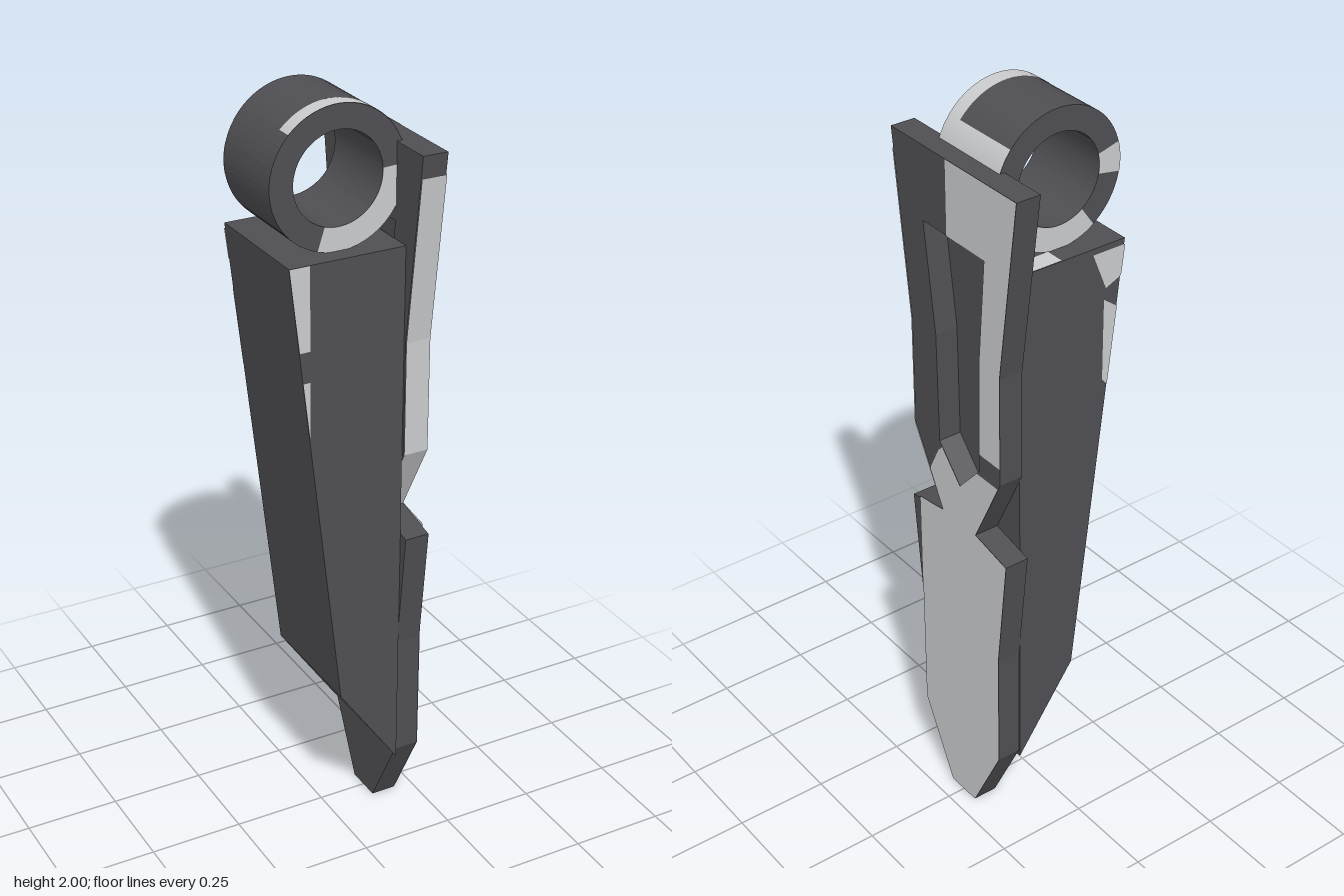
import * as THREE from 'three';

export function createModel() {
  const group = new THREE.Group();
  const dark = new THREE.MeshStandardMaterial({ color: 0x4f4e52, side: THREE.DoubleSide });
  dark.name = 'darkGrey';
  const light = new THREE.MeshStandardMaterial({ color: 0xcacbcd, side: THREE.DoubleSide });
  light.name = 'lightGrey';

  const shapeOf = pts => new THREE.Shape(pts.map(p => new THREE.Vector2(...p)));
  const add = (name, geo, mat) => {
    const m = new THREE.Mesh(geo, mat);
    m.name = name;
    group.add(m);
    return m;
  };
  const extrude = (shape, depth, curveSegments = 12) =>
    new THREE.ExtrudeGeometry(shape, { depth, bevelEnabled: false, curveSegments });
  // Flat patch facing +x; profile is (-z, y)
  const sidePatch = (name, pts, x, mat) =>
    add(name, new THREE.ShapeGeometry(shapeOf(pts)).rotateY(Math.PI / 2).translate(x, 0, 0), mat);
  // Flat patch in the xy plane
  const frontPatch = (name, pts, z, mat) =>
    add(name, new THREE.ShapeGeometry(shapeOf(pts)).translate(0, 0, z), mat);

  // Tapered body
  const body = [[-0.175, 1.645], [-0.035, 0.44], [0.132, 0.2], [0.132, 1.645]];
  add('body', extrude(shapeOf(body), 0.334).translate(0, 0, -0.163), dark);

  // Worn light edges of the body
  frontPatch('bodyFrontWearUpper', [[-0.175, 1.645], [-0.149, 1.43], [-0.122, 1.43], [-0.122, 1.645]], 0.173, light);
  frontPatch('bodyFrontWearLower', [[-0.14, 1.35], [-0.122, 1.2], [-0.122, 1.35]], 0.173, light);
  frontPatch('bodyBackWearUpper', [[-0.175, 1.63], [-0.165, 1.55], [-0.12, 1.53], [-0.08, 1.63]], -0.165, light);
  frontPatch('bodyBackWearLower', [[-0.155, 1.47], [-0.13, 1.26], [-0.115, 1.28], [-0.115, 1.5]], -0.165, light);
  const topWear = new THREE.PlaneGeometry(0.105, 0.053).rotateX(-Math.PI / 2);
  add('bodyTopWear', topWear.translate(0.062, 1.647, -0.1365), light);

  // Blade-shaped side plate with a recessed window
  const plate = [
    [-0.24, 1.885], [-0.178, 1.4], [-0.178, 1.103], [-0.066, 0.897], [-0.198, 0.87], [-0.165, 0.55],
    [-0.165, 0.22], [-0.05, 0], [0.05, 0], [0.16, 0.22], [0.16, 0.55], [0.195, 0.87],
    [0.07, 0.897], [0.173, 1.103], [0.173, 1.4], [0.24, 1.885],
  ];
  const recess = [
    [-0.12, 1.69], [0.12, 1.69], [0.095, 1.4], [0.09, 1.1], [0.008, 1.01], [-0.075, 1.1], [-0.08, 1.4],
  ];
  const plateShape = shapeOf(plate);
  plateShape.holes.push(new THREE.Path(recess.map(p => new THREE.Vector2(...p))));
  add('sidePlate', extrude(plateShape, 0.066).rotateY(Math.PI / 2).translate(0.132, 0, 0), dark);

  // Recess floor, dark with a light strip
  sidePatch('recessFloor', recess, 0.136, dark);
  sidePatch('recessFloorStrip', [[0.06, 1.69], [0.12, 1.69], [0.095, 1.4], [0.09, 1.1], [0.01, 1.015]], 0.138, light);

  // Light face areas of the plate
  const face = 0.1995;
  sidePatch('plateFaceUpper', [
    [-0.025, 1.885], [-0.025, 1.69], [0.12, 1.69], [0.095, 1.4], [0.091, 1.15], [0.173, 1.15], [0.173, 1.4], [0.24, 1.885],
  ], face, light);
  sidePatch('plateFaceLower', [
    [-0.06, 1.09], [-0.08, 1.07], [-0.118, 0.995], [-0.066, 0.897], [-0.165, 0.883], [-0.165, 0.22],
    [-0.05, 0], [0.05, 0], [0.16, 0.22], [0.16, 0.55], [0.195, 0.87], [0.07, 0.897],
    [0.165, 1.088], [0.08, 1.088], [0.008, 1.01], [-0.06, 1.083],
  ], face, light);

  // Light front edge of the plate, one quad per outline segment
  const edge = [[0.235, 1.83], [0.18, 1.4], [0.18, 1.1], [0.068, 0.896]];
  for (let i = 0; i < edge.length - 1; i++) {
    const [z0, y0] = edge[i], [z1, y1] = edge[i + 1];
    const length = Math.hypot(z1 - z0, y1 - y0);
    const strip = new THREE.PlaneGeometry(0.066, length).rotateX(Math.atan2(z0 - z1, y0 - y1));
    add('plateFrontEdge', strip.translate(0.165, (y0 + y1) / 2, (z0 + z1) / 2 + 0.002), light);
  }

  // Ring on top
  const cx = -0.021, cy = 1.821, R = 0.178, r = 0.117, zBack = -0.109, zFront = 0.122;
  const rad = THREE.MathUtils.degToRad;
  const ring = new THREE.Shape().absarc(cx, cy, R, 0, Math.PI * 2, false);
  ring.holes.push(new THREE.Path().absarc(cx, cy, r, 0, Math.PI * 2, true));
  add('ring', extrude(ring, zFront - zBack, 32).translate(0, 0, zBack), dark);

  // Light areas on the ring faces and rim
  const ringFace = (name, a0, a1, z) =>
    add(name, new THREE.RingGeometry(r, R, 16, 1, rad(a0), rad(a1 - a0)).translate(cx, cy, z), light);
  const rim = (name, a0, a1, z0, z1) =>
    add(name, new THREE.CylinderGeometry(R + 0.001, R + 0.001, z1 - z0, 16, 1, true, rad(a0 + 90), rad(a1 - a0))
      .rotateX(Math.PI / 2).translate(cx, cy, (z0 + z1) / 2), light);
  ringFace('ringFrontWear', -108, 3, zFront + 0.001);
  ringFace('ringBackWear', -125, -55, zBack - 0.001);
  ringFace('ringBackWearSmall', 165, 190, zBack - 0.001);
  rim('ringRimSide', -100, 40, zBack, zFront);
  rim('ringRimTop', 40, 136, 0.08, zFront);

  return group;
}
